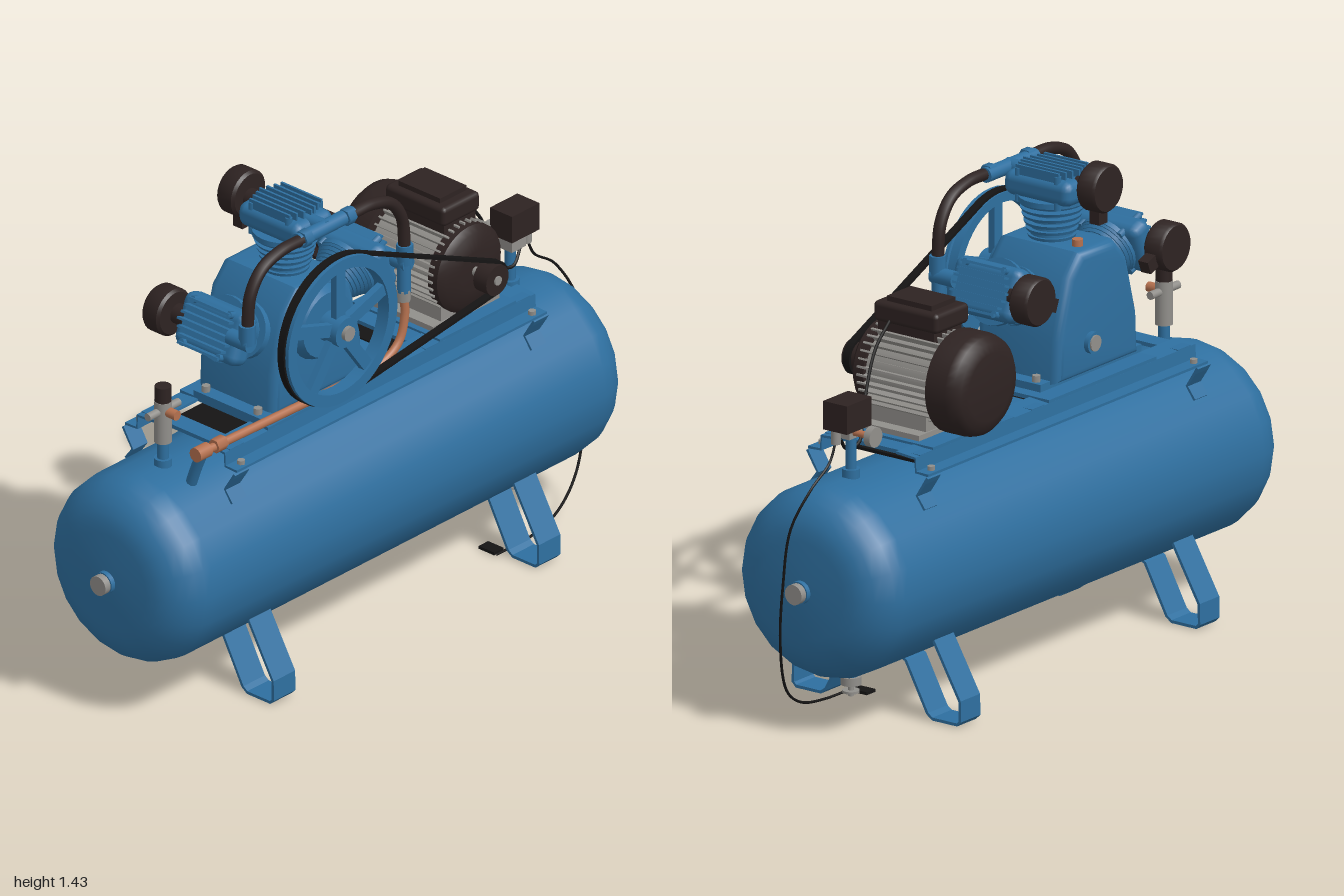
import * as THREE from 'three';
import { toCreasedNormals } from 'three/addons/utils/BufferGeometryUtils.js';
import { RoundedBoxGeometry } from 'three/addons/geometries/RoundedBoxGeometry.js';

const mat = (name, color) => Object.assign(new THREE.MeshStandardMaterial({ color }), { name });
const V = (...p) => new THREE.Vector3(...p);

export function createModel() {
  const blue = mat('blue paint', 0x2e6f9f), dark = mat('dark brown', 0x2e2322), gray = mat('metal gray', 0x918f8b);
  const black = mat('black rubber', 0x151414), copper = mat('copper', 0xb5714f);
  const root = new THREE.Group();
  root.name = 'airCompressor';

  // Helpers
  const add = (name, geo, m, p = [0, 0, 0], parent = root) => {
    const mesh = new THREE.Mesh(geo, m);
    mesh.name = name;
    mesh.position.set(...p);
    parent.add(mesh);
    return mesh;
  };
  const box = (name, size, p, m, parent) => add(name, new THREE.BoxGeometry(...size), m, p, parent);
  const cyl = (name, r, h, p, m, axis = 'y', parent = root, r2 = r, seg = 24) => {
    const g = new THREE.CylinderGeometry(r2, r, h, seg);
    if (axis === 'z') g.rotateX(Math.PI / 2);
    if (axis === 'x') g.rotateZ(-Math.PI / 2);
    return add(name, g, m, p, parent);
  };
  const tube = (name, pts, r, m, n = 48, sides = 10) =>
    add(name, new THREE.TubeGeometry(new THREE.CatmullRomCurve3(pts.map(p => V(...p)), false, 'centripetal'), n, r, sides), m);
  const lathe = (pts, seg) => toCreasedNormals(new THREE.LatheGeometry(pts.map(p => new THREE.Vector2(...p)), seg), 0.7);
  // Bent sheet: a (z, y) polyline thickened by t and swept along x
  const sheet = (pts, t, width) => {
    const side = s => pts.map((p, i) => {
      const a = pts[Math.max(i - 1, 0)], b = pts[Math.min(i + 1, pts.length - 1)];
      const dx = b[0] - a[0], dy = b[1] - a[1], l = Math.hypot(dx, dy);
      return new THREE.Vector2(p[0] - s * dy / l * t / 2, p[1] + s * dx / l * t / 2);
    });
    const g = new THREE.ExtrudeGeometry(new THREE.Shape([...side(1), ...side(-1).reverse()]), { depth: width, bevelEnabled: false });
    return g.translate(0, 0, -width / 2).rotateY(-Math.PI / 2);
  };
  const mirrorZ = pts => pts.map(([z, y]) => [-z, y]);

  // Tank with rounded ends
  const R = 0.287, half = [];
  for (let i = 0; i <= 7; i++) {
    const a = i / 7 * Math.PI / 2;
    half.push([R - 0.14 + 0.14 * Math.cos(a), 0.82 + 0.135 * Math.sin(a)]);
  }
  half.push([0.07, 0.962], [0, 0.963]);
  const profile = [...half.map(([r, y]) => [r, -y]).reverse(), ...half].map(p => new THREE.Vector2(...p));
  add('tank', new THREE.LatheGeometry(profile, 20).rotateZ(Math.PI / 2), blue, [0, 0.44, 0]);
  for (const s of [-1, 1]) {
    cyl('tankPortCollar', 0.034, 0.025, [s * 0.965, 0.44, 0], blue, 'x');
    cyl('tankPlug', 0.03, 0.03, [s * 0.984, 0.44, 0], gray, 'x');
  }

  // Legs and frame brackets
  const leg = [[0.2, 0.25], [0.298, 0.08], [0.299, 0.02], [0.288, 0.009], [0.2, 0.009], [0.182, 0.022], [0.105, 0.165], [0.09, 0.172]];
  const bracket = [[0.215, 0.742], [0.205, 0.725], [0.178, 0.682], [0.205, 0.645]];
  const rail = [[0.215, 0.748], [0.17, 0.75], [0.168, 0.79], [0.1, 0.795]];
  for (const f of [p => p, mirrorZ]) {
    for (const x of [-0.545, 0.567]) add('leg', sheet(f(leg), 0.009, 0.09), blue, [x, 0, 0]);
    for (const x of [-0.63, 0.625]) add('frameBracket', sheet(f(bracket), 0.008, 0.06), blue, [x, 0, 0]);
    add('frameRail', sheet(f(rail), 0.008, 1.3), blue);
  }
  for (const x of [-0.6, 0.08, 0.22, 0.6]) box('crossMember', [0.06, 0.012, 0.34], [x, 0.79, 0], blue);
  box('pumpPlate', [0.5, 0.012, 0.34], [-0.22, 0.797, 0], blue);
  box('motorPlate', [0.32, 0.012, 0.34], [0.41, 0.797, 0], blue);
  box('underTray', [0.58, 0.009, 0.3], [-0.26, 0.734, 0], black);
  box('underTray', [0.34, 0.009, 0.3], [0.365, 0.734, 0], black);
  for (const x of [-0.61, 0.61]) for (const z of [-0.195, 0.195]) cyl('frameBolt', 0.012, 0.015, [x, 0.757, z], gray, 'y', root, 0.012, 6);

  // Crankcase
  const px = -0.243;
  const cs = new THREE.Shape([[-0.165, 0], [0.165, 0], [0.16, 0.1], [0.115, 0.27], [0.07, 0.32], [-0.07, 0.32], [-0.115, 0.27], [-0.16, 0.1]].map(p => new THREE.Vector2(...p)));
  const caseGeo = new THREE.ExtrudeGeometry(cs, { depth: 0.24, bevelThickness: 0.03, bevelSize: 0.025, bevelSegments: 4 });
  add('crankcase', toCreasedNormals(caseGeo, 0.8), blue, [px, 0.84, -0.11]);
  box('pumpBase', [0.47, 0.022, 0.26], [px, 0.815, 0.02], blue);
  for (const s of [-1, 1]) for (const z of [-0.08, 0.12]) {
    cyl('pumpBolt', 0.013, 0.02, [px + s * 0.215, 0.835, z], gray, 'y', root, 0.013, 6);
  }
  cyl('bearingCover', 0.12, 0.04, [px, 1.053, 0.17], blue, 'z', root, 0.1);
  cyl('sightGlassRim', 0.032, 0.02, [px + 0.04, 0.91, -0.145], blue, 'z');
  cyl('sightGlass', 0.024, 0.02, [px + 0.04, 0.91, -0.15], gray, 'z');
  cyl('breather', 0.016, 0.05, [px + 0.03, 1.18, -0.085], copper);

  // Three finned cylinders in a fan, each with head and intake filter
  const filterGeo = lathe([[0, -0.033], [0.066, -0.033], [0.072, -0.025], [0.072, 0.025], [0.064, 0.033], [0, 0.033]], 28).rotateX(Math.PI / 2);
  for (const [name, angle, end] of [['middleCylinder', 0, 0.42], ['leftCylinder', -1.19, 0.375], ['rightCylinder', 1.19, 0.375]]) {
    const g = new THREE.Group();
    g.name = name;
    g.position.set(px, 0.98, 0.03);
    g.rotation.z = angle;
    root.add(g);
    cyl('cylinderBarrel', 0.062, end - 0.17, [0, end / 2 - 0.01 + 0.04, 0], blue, 'y', g);
    cyl('cylinderFlange', 0.085, 0.022, [0, 0.185, 0], blue, 'y', g);
    for (let i = 0; i < 6; i++) {
      const t = i / 5;
      cyl('coolingFin', 0.068 + 0.024 * t, 0.009, [0, 0.21 + (end - 0.32) * t, 0], blue, 'y', g, 0.071 + 0.026 * t);
    }
    add('cylinderHead', new RoundedBoxGeometry(0.16, 0.075, 0.24, 2, 0.028), blue, [0, end - 0.06, 0], g);
    cyl('headGasket', 0.098, 0.016, [0, end - 0.1, 0], blue, 'y', g);
    for (let i = -3; i <= 3; i++) box('headFin', [0.007, 0.04, 0.2 - Math.abs(i) * 0.015], [i * 0.022, end - 0.02, 0], blue, g);
    for (const x of [-1, 1]) for (const z of [-1, 1]) cyl('headBolt', 0.011, 0.1, [x * 0.064, end - 0.06, z * 0.07], blue, 'y', g, 0.011, 6);
    // Intake filter behind the head
    const fy = end - 0.037;
    cyl('filterNeck', 0.03, 0.06, [0, fy - 0.01, -0.125], dark, 'z', g);
    add('airFilter', filterGeo, dark, [0, fy, -0.171], g);
    box('filterSnout', [0.04, 0.05, 0.035], [0, fy - 0.083, -0.167], dark, g);
  }

  // Delivery hoses from the middle head to the outer heads
  cyl('deliveryTee', 0.022, 0.23, [px, 1.363, 0.18], blue, 'x');
  cyl('deliveryPort', 0.022, 0.08, [px, 1.363, 0.15], blue, 'z');
  for (const s of [-1, 1]) {
    const at = (x, y) => [px + s * x, y, 0.185];
    tube(s < 0 ? 'rightHose' : 'leftHose', [at(0.1, 1.365), at(0.19, 1.363), at(0.27, 1.335), at(0.317, 1.27), at(0.33, 1.16)], 0.018, dark);
    cyl('hoseNut', 0.026, 0.03, at(0.09, 1.365), blue, 'x', root, 0.026, 6);
    cyl('hoseNut', 0.025, 0.06, at(0.33, 1.15), blue, 'y', root, 0.025, 8);
    cyl('headElbow', 0.024, 0.08, [px + s * 0.33, 1.12, 0.16], blue, 'z');
  }

  // Copper discharge pipe to the tank
  cyl('pipeFitting', 0.02, 0.1, [0.083, 1.08, 0.185], blue);
  cyl('pipeNut', 0.022, 0.035, [0.083, 1.02, 0.185], gray, 'y', root, 0.022, 6);
  tube('copperPipe', [[0.083, 1.03, 0.185], [0.083, 0.95, 0.188], [0.06, 0.88, 0.188], [0, 0.838, 0.185], [-0.12, 0.822, 0.175], [-0.4, 0.82, 0.165], [-0.73, 0.818, 0.152]], 0.013, copper, 70);
  cyl('copperNut', 0.022, 0.04, [-0.66, 0.82, 0.154], copper, 'x', root, 0.022, 6);
  cyl('checkValve', 0.022, 0.05, [-0.73, 0.82, 0.152], copper, 'x');
  tube('tankInlet', [[-0.72, 0.82, 0.15], [-0.72, 0.76, 0.125], [-0.72, 0.69, 0.1]], 0.017, blue, 12);

  // Flywheel
  const wheel = new THREE.Group();
  wheel.name = 'flywheel';
  wheel.position.set(px, 1.053, 0);
  root.add(wheel);
  const rim = [[0.193, 0.208], [0.222, 0.208], [0.222, 0.236], [0.229, 0.238], [0.229, 0.25], [0.193, 0.25], [0.193, 0.208]];
  add('flywheelRim', lathe(rim, 48).rotateX(Math.PI / 2), blue, [0, 0, 0], wheel);
  for (let i = 0; i < 5; i++) {
    const a = Math.PI / 2 + i * Math.PI * 0.4;
    const s = box('spoke', [0.17, 0.038, 0.022], [Math.cos(a) * 0.115, Math.sin(a) * 0.115, 0.232], blue, wheel);
    s.rotation.z = a;
  }
  cyl('flywheelHub', 0.046, 0.07, [0, 0, 0.23], blue, 'z', wheel);
  cyl('crankNut', 0.022, 0.025, [0, 0, 0.265], gray, 'z', wheel);

  // Drive belt around the flywheel and motor pulley
  const mx = 0.41, my = 0.957, dx = mx - px, dy = my - 1.053;
  const loop = (path, inset) => {
    const base = Math.atan2(dy, dx), al = Math.acos((0.232 - 0.055) / Math.hypot(dx, dy));
    path.absarc(px, 1.053, 0.232 - inset, base + al, base - al + Math.PI * 2, false);
    path.absarc(mx, my, 0.055 - inset, base - al, base + al, false);
    path.closePath();
    return path;
  };
  const beltShape = loop(new THREE.Shape(), 0);
  beltShape.holes.push(loop(new THREE.Path(), 0.009));
  add('driveBelt', new THREE.ExtrudeGeometry(beltShape, { depth: 0.024, bevelEnabled: false, curveSegments: 40 }), black, [0, 0, 0.211]);

  // Electric motor
  cyl('motorBody', 0.122, 0.28, [mx, my, -0.005], gray, 'z', root, 0.122, 32);
  for (let i = 0; i < 36; i++) {
    const a = i / 36 * Math.PI * 2;
    box('motorFin', [0.026, 0.006, 0.25], [mx + Math.cos(a) * 0.127, my + Math.sin(a) * 0.127, -0.005], gray).rotation.z = a;
  }
  const bell = lathe([[0, 0.1], [0.134, 0.1], [0.134, 0.135], [0.115, 0.152], [0.06, 0.16], [0, 0.16]], 32).rotateX(Math.PI / 2);
  add('motorEndBell', bell, dark, [mx, my, 0]);
  const cover = lathe([[0, -0.253], [0.1, -0.253], [0.128, -0.246], [0.145, -0.23], [0.152, -0.205], [0.152, -0.135], [0.12, -0.13], [0, -0.13]], 32).rotateX(Math.PI / 2);
  add('fanCover', cover, dark, [mx, my, 0]);
  cyl('motorPulley', 0.047, 0.05, [mx, my, 0.22], dark, 'z');
  cyl('motorShaft', 0.014, 0.1, [mx, my, 0.2], gray, 'z');
  box('motorFoot', [0.2, 0.06, 0.22], [mx, 0.835, 0.01], gray);
  box('motorFootPlate', [0.28, 0.016, 0.23], [mx, 0.811, 0.01], gray);
  box('terminalBase', [0.13, 0.05, 0.2], [mx, 1.095, 0], dark);
  add('terminalBox', new RoundedBoxGeometry(0.155, 0.06, 0.23, 2, 0.014), dark, [mx, 1.135, -0.005]);
  box('terminalLid', [0.11, 0.025, 0.16], [mx, 1.168, -0.005], dark);

  // Pressure switch on its riser
  cyl('switchRiser', 0.016, 0.17, [0.73, 0.79, 0], blue);
  cyl('riserCollar', 0.026, 0.03, [0.73, 0.735, 0], blue);
  box('switchManifold', [0.06, 0.035, 0.05], [0.74, 0.865, 0], gray);
  cyl('switchFitting', 0.014, 0.04, [0.8, 0.86, 0], gray);
  box('pressureSwitch', [0.115, 0.085, 0.085], [0.762, 0.925, -0.012], dark);
  cyl('gaugeStem', 0.01, 0.06, [0.745, 0.865, -0.05], copper, 'z');
  cyl('pressureGauge', 0.03, 0.022, [0.745, 0.865, -0.09], gray, 'z');

  // Safety valve at the other end
  cyl('valveRiser', 0.017, 0.1, [-0.725, 0.755, 0], blue);
  cyl('valveCollar', 0.026, 0.025, [-0.725, 0.735, 0], blue);
  cyl('valveBody', 0.026, 0.13, [-0.725, 0.865, 0], gray);
  cyl('valveArm', 0.012, 0.13, [-0.725, 0.9, 0], gray, 'x');
  cyl('valveOutlet', 0.015, 0.06, [-0.725, 0.9, 0.025], copper, 'z');
  cyl('valveCap', 0.024, 0.05, [-0.725, 0.953, 0], dark);

  // Drain valve under the tank
  cyl('drainCollar', 0.02, 0.04, [0.73, 0.148, 0], blue);
  cyl('drainBody', 0.03, 0.024, [0.73, 0.117, 0], gray);
  cyl('drainStem', 0.008, 0.04, [0.73, 0.09, 0], gray);
  cyl('drainKnob', 0.025, 0.007, [0.73, 0.084, 0], gray);

  // Cables
  tube('powerCable', [[0.8, 0.85, 0], [0.83, 0.79, 0], [0.91, 0.73, 0.005], [0.965, 0.62, 0.035], [0.975, 0.45, 0.055], [0.955, 0.27, 0.08], [0.89, 0.11, 0.11], [0.78, 0.035, 0.14], [0.65, 0.008, 0.155], [0.5, 0.006, 0.155]], 0.004, black, 80, 6);
  box('plug', [0.04, 0.009, 0.06], [0.52, 0.007, 0.12], black);
  tube('motorCable', [[0.48, 1.12, 0.05], [0.54, 1.04, 0.06], [0.62, 0.89, 0.04], [0.68, 0.81, 0.01], [0.72, 0.8, 0.02], [0.78, 0.85, 0]], 0.005, black, 50, 6);

  return root;
}
